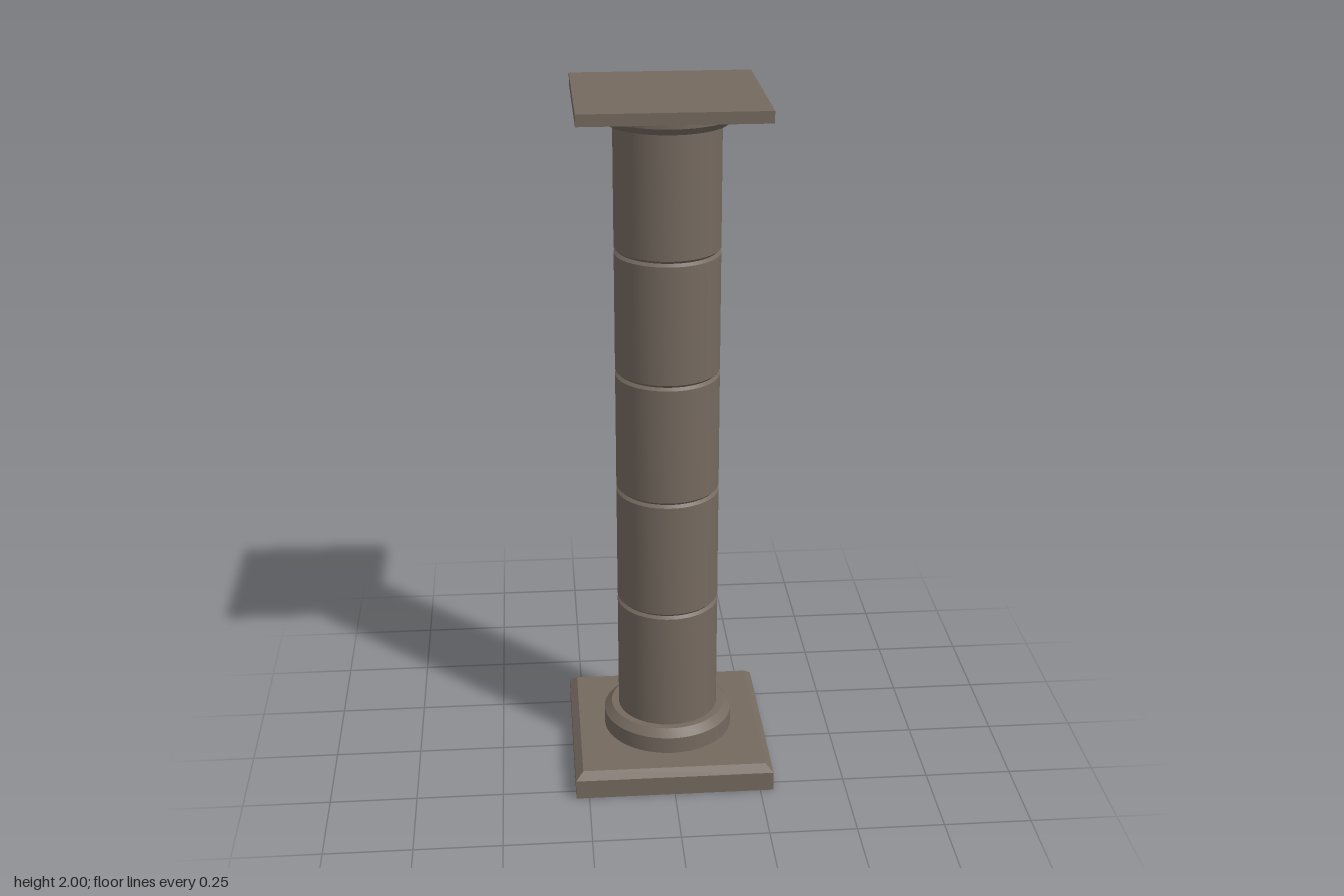
import * as THREE from 'three';
import { toCreasedNormals } from 'three/addons/utils/BufferGeometryUtils.js';

export function createModel() {
  const group = new THREE.Group();
  const stone = new THREE.MeshStandardMaterial({ color: 0x74695f });
  stone.name = 'brown stone';

  // Revolved solid, closed at both ends; profile is [radius, y] from bottom to top
  function turned(name, profile, sides = 64) {
    const square = sides === 4;
    const k = square ? Math.SQRT2 : 1; // half width to corner radius
    const closed = [[0, profile[0][1]], ...profile, [0, profile[profile.length - 1][1]]];
    const points = closed.map(([r, y]) => new THREE.Vector2(r * k, y));
    const geometry = new THREE.LatheGeometry(points, sides);
    if (square) geometry.rotateY(Math.PI / 4);
    const mesh = new THREE.Mesh(toCreasedNormals(geometry, 0.4), stone);
    mesh.name = name;
    group.add(mesh);
  }

  // Square plinth with a bevelled top edge, and the round collar on it
  turned('plinth', [[0.288, 0], [0.288, 0.058], [0.266, 0.078]], 4);
  turned('baseCollar', [[0.19, 0.078], [0.19, 0.128], [0.168, 0.149]]);

  // Shaft of five drums, chamfered where they meet
  const bottom = 0.155, drumHeight = 0.3535, radius = 0.147, chamfer = 0.008;
  for (let i = 0; i < 5; i++) {
    const y0 = bottom + i * drumHeight;
    const y1 = y0 + drumHeight;
    const profile = i === 0
      ? [[radius, 0.14]]
      : [[radius - chamfer, y0], [radius, y0 + chamfer]];
    if (i === 4) profile.push([radius, y1]);
    else profile.push([radius, y1 - chamfer], [radius - chamfer, y1]);
    turned('shaftDrum' + (i + 1), profile);
  }

  // Round capital ring, bevelled below, under the square top slab
  turned('capitalRing', [[0.168, 1.922], [0.188, 1.942], [0.188, 1.968]]);
  turned('topSlab', [[0.252, 1.968], [0.252, 2]], 4);

  return group;
}
